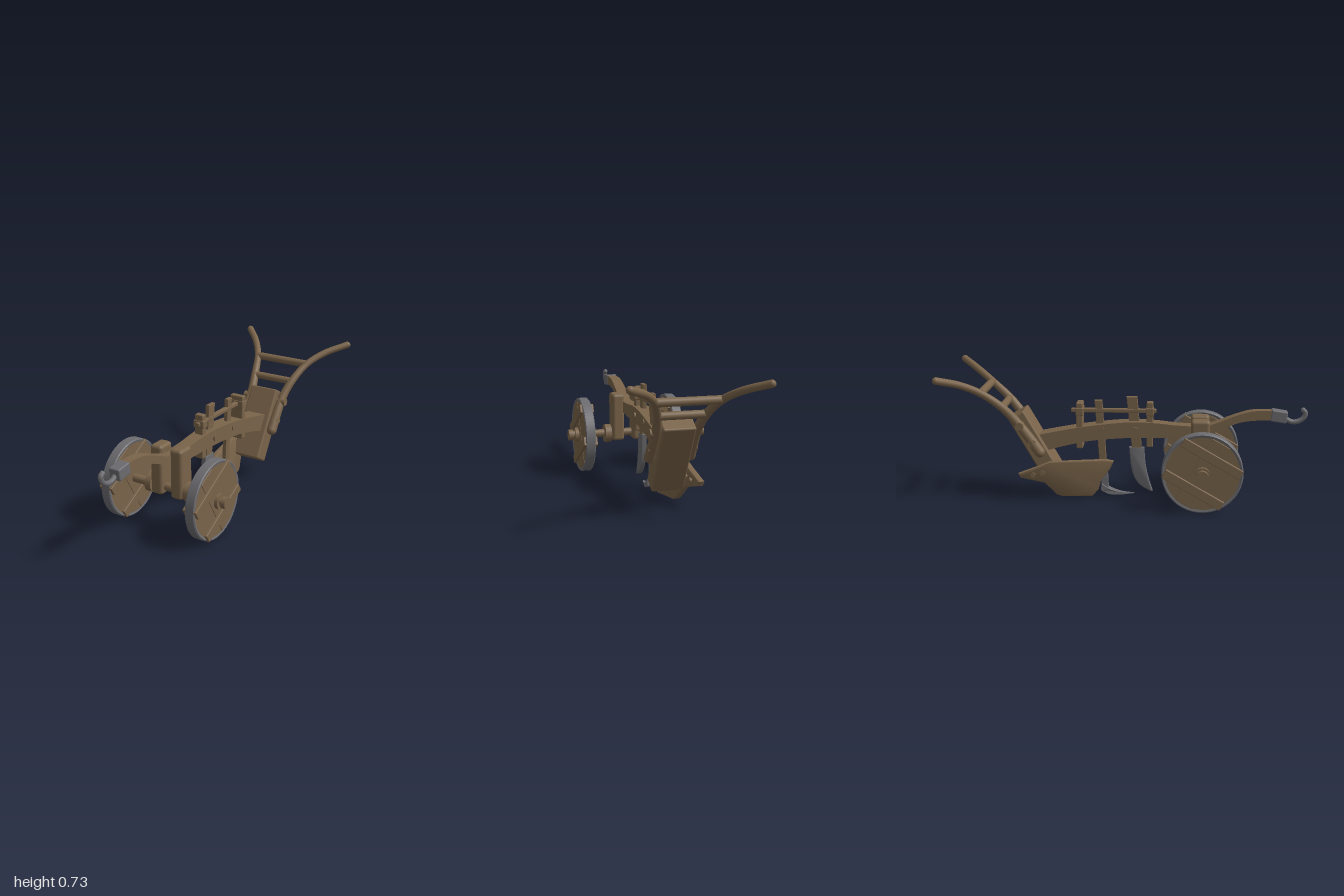
import * as THREE from 'three';
import { toCreasedNormals } from 'three/addons/utils/BufferGeometryUtils.js';
import { RoundedBoxGeometry } from 'three/addons/geometries/RoundedBoxGeometry.js';

export function createModel() {
  const model = new THREE.Group();
  const wood = new THREE.MeshStandardMaterial({ color: 0x7a644a });
  wood.name = 'wood';
  const iron = new THREE.MeshStandardMaterial({ color: 0x6c6c70 });
  iron.name = 'iron';

  const add = (name, geo, mat, x = 0, y = 0, z = 0, parent = model) => {
    const mesh = new THREE.Mesh(geo, mat);
    mesh.name = name;
    mesh.position.set(x, y, z);
    parent.add(mesh);
    return mesh;
  };
  const box = (w, h, d, r = 0.008) => new RoundedBoxGeometry(w, h, d, 2, r);
  const rodX = (r, len, sides = 24) => new THREE.CylinderGeometry(r, r, len, sides).rotateZ(Math.PI / 2);

  // Plate drawn in the z-y plane, given thickness along x
  const sidePlate = (pts, thick, bevel = 0) => {
    const shape = new THREE.Shape(pts.map(([z, y]) => new THREE.Vector2(z, y)));
    return new THREE.ExtrudeGeometry(shape, {
      depth: thick - 2 * bevel, bevelEnabled: bevel > 0, bevelSize: bevel,
      bevelThickness: bevel, bevelOffset: -bevel, bevelSegments: 2,
    }).translate(0, 0, bevel - thick / 2).rotateY(-Math.PI / 2);
  };
  // Move every vertex by a rule
  const warp = (geo, rule) => {
    const p = geo.attributes.position, v = new THREE.Vector3();
    for (let i = 0; i < p.count; i++) {
      rule(v.fromBufferAttribute(p, i), i);
      p.setXYZ(i, v.x, v.y, v.z);
    }
    return geo;
  };
  const spline2 = (pts, n) => new THREE.SplineCurve(pts.map((p) => new THREE.Vector2(...p)))
    .getPoints(n).map((p) => [p.x, p.y]);

  // Curved main beam, widening to the rear
  const beamTop = spline2([[0.82, 0.505], [0.7, 0.503], [0.6, 0.475], [0.45, 0.42], [0.3, 0.418],
    [0.15, 0.432], [0, 0.434], [-0.2, 0.412], [-0.36, 0.385], [-0.52, 0.352]], 32);
  const beamBottom = spline2([[-0.48, 0.258], [-0.36, 0.293], [-0.2, 0.327], [0, 0.345], [0.15, 0.348],
    [0.3, 0.348], [0.45, 0.365], [0.6, 0.43], [0.7, 0.45], [0.82, 0.452]], 32);
  const beam = warp(sidePlate([...beamTop, ...beamBottom], 1), (v) => {
    v.x *= 2 * THREE.MathUtils.mapLinear(v.z, 0.82, -0.52, 0.026, 0.056);
  });
  add('beam', toCreasedNormals(beam, 0.5), wood);

  // Draught hook at the nose
  const collar = add('hookCollar', box(0.066, 0.065, 0.09), iron, 0, 0.474, 0.84);
  collar.rotation.x = 0.15;
  const hookPath = new THREE.CatmullRomCurve3([[0.87, 0.465], [0.91, 0.442], [0.95, 0.446], [0.978, 0.468],
    [0.985, 0.495], [0.972, 0.508]].map(([z, y]) => new THREE.Vector3(0, y, z)));
  add('hook', new THREE.TubeGeometry(hookPath, 24, 0.014, 10), iron);
  add('hookTip', new THREE.SphereGeometry(0.014, 10, 8), iron, 0, 0.508, 0.972);

  // Axle and its bolster posts
  add('axle', rodX(0.023, 0.7), wood, 0, 0.22, 0.42);
  for (const s of [-1, 1]) {
    add('bolsterPost', box(0.074, 0.28, 0.105, 0.018), wood, s * 0.063, 0.32, 0.41);
    add('axleCollar', rodX(0.053, 0.037), wood, s * 0.122, 0.22, 0.41);
  }

  // Plank wheels with iron tyres
  const tyre = toCreasedNormals(new THREE.LatheGeometry([[0.2, -0.026], [0.212, -0.029], [0.218, -0.024],
    [0.218, 0.024], [0.212, 0.029], [0.2, 0.026], [0.2, -0.026]].map((p) => new THREE.Vector2(...p)), 56)
    .rotateZ(Math.PI / 2), 0.7);
  for (const s of [-1, 1]) {
    const wheel = new THREE.Group();
    wheel.name = s > 0 ? 'leftWheel' : 'rightWheel';
    wheel.position.set(s * 0.265, 0.219, 0.42);
    add('tyre', tyre, iron, 0, 0, 0, wheel);
    add('wheelDisc', rodX(0.205, 0.052, 56), wood, 0, 0, 0, wheel);
    const planks = new THREE.Group();
    planks.name = 'planks';
    planks.rotation.x = Math.PI / 6;
    wheel.add(planks);
    for (const side of [-1, 1]) {
      add('middlePlank', box(0.01, 0.39, 0.11, 0.003), wood, side * 0.024, 0, 0, planks);
      for (const o of [-0.1, 0.1]) {
        add('batten', box(0.02, 0.052, 0.36, 0.004), wood, side * 0.031, o, 0, planks);
      }
    }
    add('hubRing', rodX(0.041, 0.02), wood, s * 0.044, 0, 0, wheel);
    add('axleCap', rodX(0.032, 0.026), wood, s * 0.078, 0, 0, wheel);
    model.add(wheel);
  }

  // Clamps on the beam and the rod that ties them
  add('frontClamp', box(0.052, 0.255, 0.036, 0.006), wood, 0, 0.417, 0.13);
  add('rearClamp', box(0.084, 0.26, 0.036, 0.006), wood, 0, 0.41, -0.26);
  add('frontCrossPeg', box(0.066, 0.045, 0.044, 0.006), wood, 0, 0.49, 0.13);
  add('rearCrossPeg', box(0.09, 0.045, 0.044, 0.006), wood, 0, 0.49, -0.26);
  add('tieRod', box(0.028, 0.024, 0.475, 0.006), wood, 0, 0.492, -0.072);
  for (const z of [0.05, -0.14]) add('beamBolt', rodX(0.019, 0.106, 16), wood, 0, 0.39, z);

  // Coulter: wooden shank and curved iron knife
  add('coulterShank', sidePlate([[0.06, 0.572], [0, 0.572], [0.03, 0.28], [0.085, 0.28]], 0.024, 0.003), wood);
  const knife = [...spline2([[0.1, 0.285], [0.105, 0.2], [0.12, 0.12], [0.148, 0.028]], 8),
    ...spline2([[0.135, 0.03], [0.07, 0.07], [0.03, 0.15], [0.015, 0.285]], 8)];
  add('coulterBlade', toCreasedNormals(sidePlate(knife, 0.028, 0.005), 0.5), iron);

  // Share: shank and pointed foot
  add('shareShank', sidePlate([[-0.135, 0.55], [-0.178, 0.55], [-0.15, 0.16], [-0.11, 0.16]], 0.024, 0.003), wood);
  add('shareLeg', sidePlate([[-0.108, 0.19], [-0.155, 0.19], [-0.138, 0.03], [-0.1, 0.03]], 0.02, 0.003), iron);
  const foot = sidePlate(spline2([[-0.14, 0.07], [-0.09, 0.038], [-0.03, 0.02], [0.05, 0.014],
    [-0.03, 0.006], [-0.1, 0.012], [-0.145, 0.035]], 18), 0.052);
  warp(foot, (v) => { v.x *= THREE.MathUtils.clamp((0.055 - v.z) / 0.14, 0.08, 1); });
  add('sharePoint', toCreasedNormals(foot, 0.5), iron);

  // Mouldboard, swept outward to the right and rear
  const board = sidePlate([[-0.07, 0.21], [-0.11, 0.222], [-0.42, 0.222], [-0.475, 0.2], [-0.59, 0.16],
    [-0.58, 0.135], [-0.45, 0.098], [-0.385, 0.022], [-0.36, 0.012], [-0.19, 0.004], [-0.155, 0.045],
    [-0.14, 0.1], [-0.09, 0.165]], 0.034, 0.006);
  warp(board, (v) => { v.x += -0.012 + 0.2 * (v.z + 0.1) - 0.16 * v.y; });
  add('mouldboard', toCreasedNormals(board, 0.5), wood);
  for (const [z, y] of [[-0.46, 0.16], [-0.51, 0.15]]) {
    add('mouldboardPeg', rodX(0.014, 0.05, 12), wood, -0.012 + 0.2 * (z + 0.1) - 0.16 * y, y, z);
  }

  // Slanted rear block
  const block = add('rearBlock', box(0.174, 0.43, 0.1, 0.01), wood, 0, 0.29, -0.5);
  block.rotation.x = -Math.PI / 6;

  // Handles, thicker at the foot, with bolts and rungs
  for (const s of [-1, 1]) {
    const path = new THREE.CatmullRomCurve3([[0.108, 0.275, -0.475], [0.106, 0.36, -0.535], [0.108, 0.45, -0.605],
      [0.128, 0.53, -0.675], [0.17, 0.615, -0.78], [0.24, 0.672, -0.875], [0.34, 0.715, -0.975]]
      .map(([x, y, z]) => new THREE.Vector3(s * x, y, z)));
    const geo = new THREE.TubeGeometry(path, 40, 0.02, 14);
    const normals = geo.attributes.normal;
    warp(geo, (v, i) => {
      const grow = 0.01 * (1 - Math.min(1, Math.floor(i / 15) / 24));
      v.x += normals.getX(i) * grow;
      v.y += normals.getY(i) * grow;
      v.z += normals.getZ(i) * grow;
    });
    add(s > 0 ? 'leftHandle' : 'rightHandle', geo, wood);
    add('handleTip', new THREE.SphereGeometry(0.02, 14, 10), wood, s * 0.34, 0.715, -0.975);
    add('handleFoot', new THREE.SphereGeometry(0.03, 14, 10), wood, s * 0.108, 0.275, -0.475);
    add('upperBolt', rodX(0.022, 0.05, 16), wood, s * 0.115, 0.424, -0.58);
    add('lowerBolt', rodX(0.022, 0.05, 16), wood, s * 0.106, 0.328, -0.515);
  }
  add('upperRung', rodX(0.022, 0.34), wood, 0, 0.615, -0.78);
  add('lowerRung', rodX(0.021, 0.25), wood, 0, 0.528, -0.675);

  return model;
}
